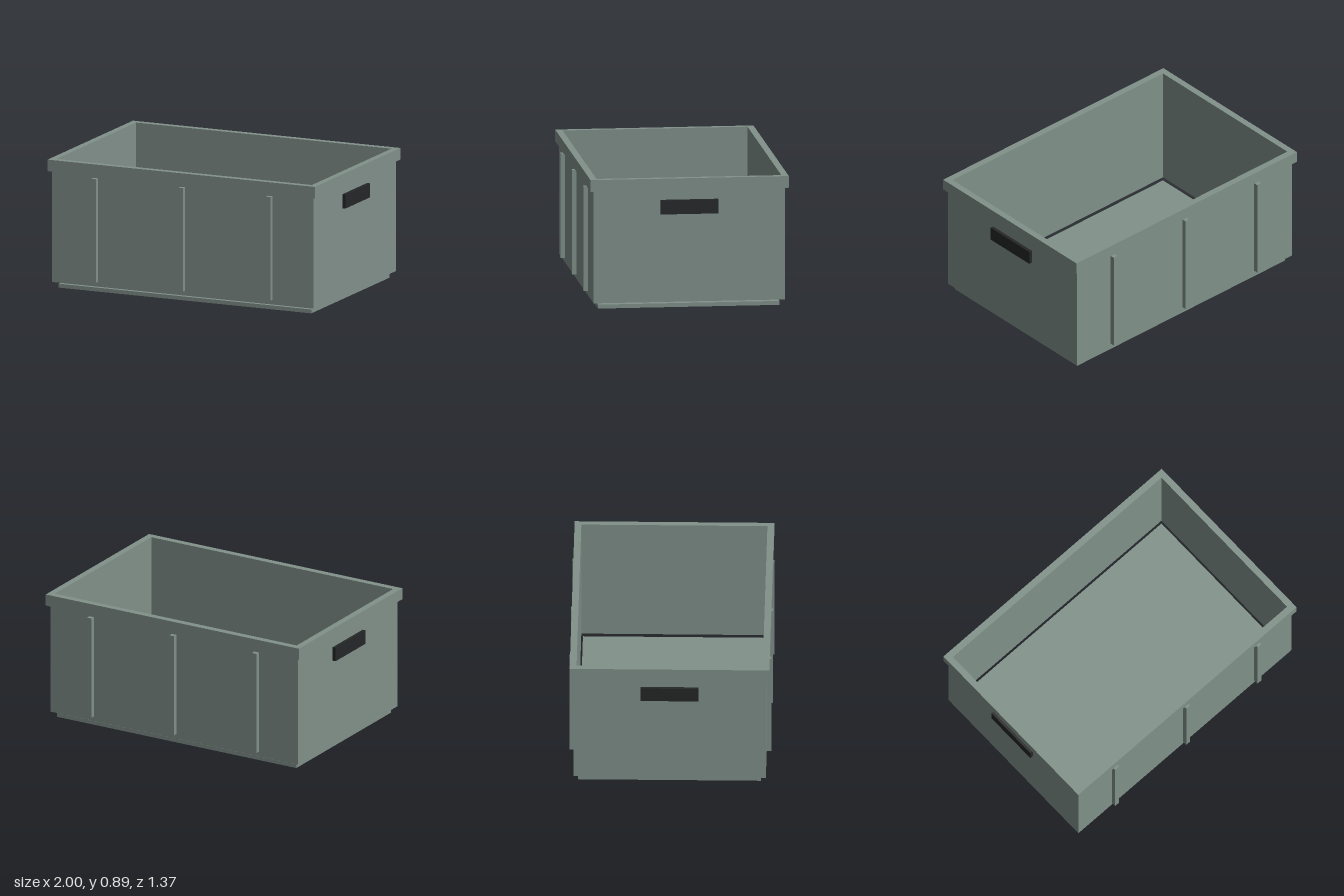
import * as THREE from 'three';

const plastic = new THREE.MeshStandardMaterial({ color: 0x81918a, flatShading: true });
const dark = new THREE.MeshStandardMaterial({ color: 0x252627, flatShading: true });

// Rectangular path with half sizes hx, hz
function rectangle(path, hx, hz) {
  path.moveTo(-hx, -hz);
  path.lineTo(hx, -hz);
  path.lineTo(hx, hz);
  path.lineTo(-hx, hz);
  path.closePath();
  return path;
}

// Open rectangular ring standing between y0 and y1
function frame(name, outerX, outerZ, innerX, innerZ, y0, y1) {
  const shape = rectangle(new THREE.Shape(), outerX, outerZ);
  shape.holes.push(rectangle(new THREE.Path(), innerX, innerZ));
  const geometry = new THREE.ExtrudeGeometry(shape, { depth: y1 - y0, bevelEnabled: false });
  geometry.rotateX(-Math.PI / 2);
  const mesh = new THREE.Mesh(geometry, plastic);
  mesh.position.y = y0;
  mesh.name = name;
  return mesh;
}

// Box given by its extents
function box(name, x0, x1, y0, y1, z0, z1, material = plastic) {
  const mesh = new THREE.Mesh(new THREE.BoxGeometry(x1 - x0, y1 - y0, z1 - z0), material);
  mesh.position.set((x0 + x1) / 2, (y0 + y1) / 2, (z0 + z1) / 2);
  mesh.name = name;
  return mesh;
}

export function createModel() {
  const crate = new THREE.Group();
  crate.name = 'storageCrate';

  // Floor panel, set slightly below and inside the walls
  crate.add(box('floor', -0.945, 0.945, 0, 0.027, -0.618, 0.618));

  // Four walls and the thicker rim above them
  crate.add(frame('walls', 0.977, 0.651, 0.955, 0.629, 0.042, 0.812));
  crate.add(frame('rim', 1, 0.675, 0.955, 0.629, 0.812, 0.892));

  for (const side of [-1, 1]) {
    // Vertical ribs on the long walls
    for (const x of [-0.652, 0, 0.652]) {
      const rib = box('rib', x - 0.018, x + 0.018, 0.075, 0.792, 0.645, 0.683);
      rib.position.z *= side;
      crate.add(rib);
    }
    // Dark hand grips on the short walls
    const grip = box('handGrip', 0.965, 1, 0.646, 0.743, -0.196, 0.196, dark);
    grip.position.x *= side;
    crate.add(grip);
  }
  return crate;
}
